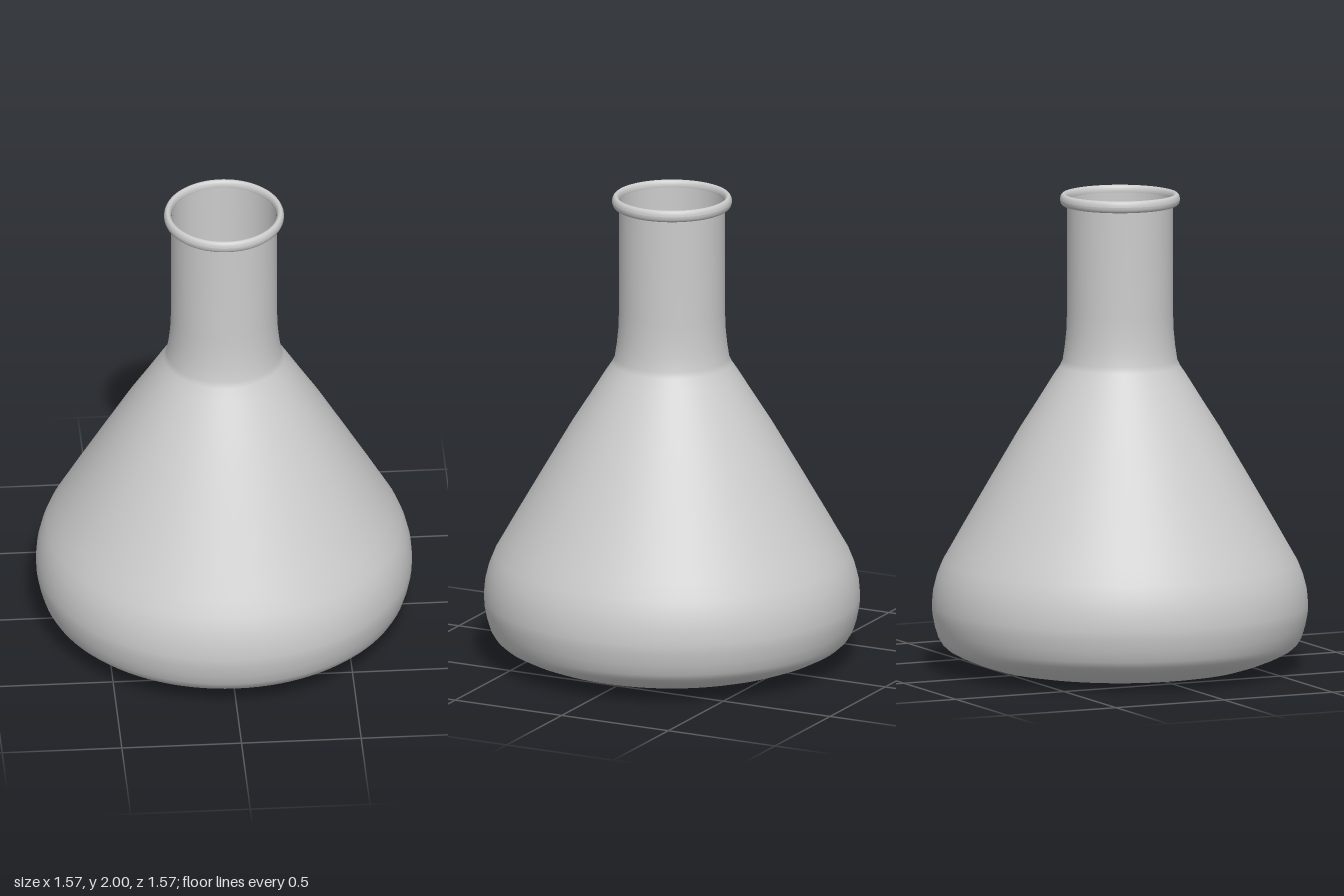
import * as THREE from 'three';

const SEGMENTS = 96;

// Revolve a list of [radius, height] pairs
function revolve(name, points, material) {
  const profile = points.map(([r, y]) => new THREE.Vector2(r, y));
  const mesh = new THREE.Mesh(new THREE.LatheGeometry(profile, SEGMENTS), material);
  mesh.name = name;
  return mesh;
}

export function createModel() {
  const group = new THREE.Group();
  group.name = 'conicalFlask';
  const glass = new THREE.MeshStandardMaterial({ color: 0xcccccc, side: THREE.DoubleSide });
  const blue = new THREE.MeshStandardMaterial({ color: 0x4048c0 });

  // Thin wall: flat base, rounded heel, cone and straight neck
  const wall = [
    [0, 0], [0.42, 0], [0.49, 0.008], [0.55, 0.019], [0.61, 0.038], [0.67, 0.062],
    [0.72, 0.088], [0.742, 0.108], [0.758, 0.135], [0.772, 0.18], [0.782, 0.23],
    [0.784, 0.27], [0.779, 0.33], [0.764, 0.39], [0.74, 0.45], [0.7, 0.52],
    [0.655, 0.6], [0.54, 0.8], [0.418, 1.01], [0.345, 1.125], [0.28, 1.23],
    [0.25, 1.275], [0.239, 1.3], [0.23, 1.36], [0.224, 1.42], [0.221, 1.5],
    [0.22, 1.75], [0.22, 1.97],
  ];
  group.add(revolve('flaskWall', wall, glass));

  // Rounded bead around the mouth
  const rim = [];
  for (let i = 0; i <= 20; i++) {
    const a = (i / 20) * Math.PI * 2;
    rim.push([0.235 + 0.015 * Math.cos(a), 1.975 + 0.025 * Math.sin(a)]);
  }
  group.add(revolve('rim', rim, glass));

  // Liquid follows the wall just inside it, closed by a level surface
  const level = 0.8;
  const inside = wall.filter(([, y]) => y <= level)
    .map(([r, y]) => [Math.max(0, r - 0.012), Math.min(level, y + 0.012)]);
  const edge = inside[inside.length - 1][0];
  group.add(revolve('liquid', inside, blue));
  const surface = new THREE.Mesh(new THREE.CircleGeometry(edge, SEGMENTS), blue);
  surface.name = 'liquidSurface';
  surface.rotation.x = -Math.PI / 2;
  surface.position.y = level;
  group.add(surface);

  return group;
}
